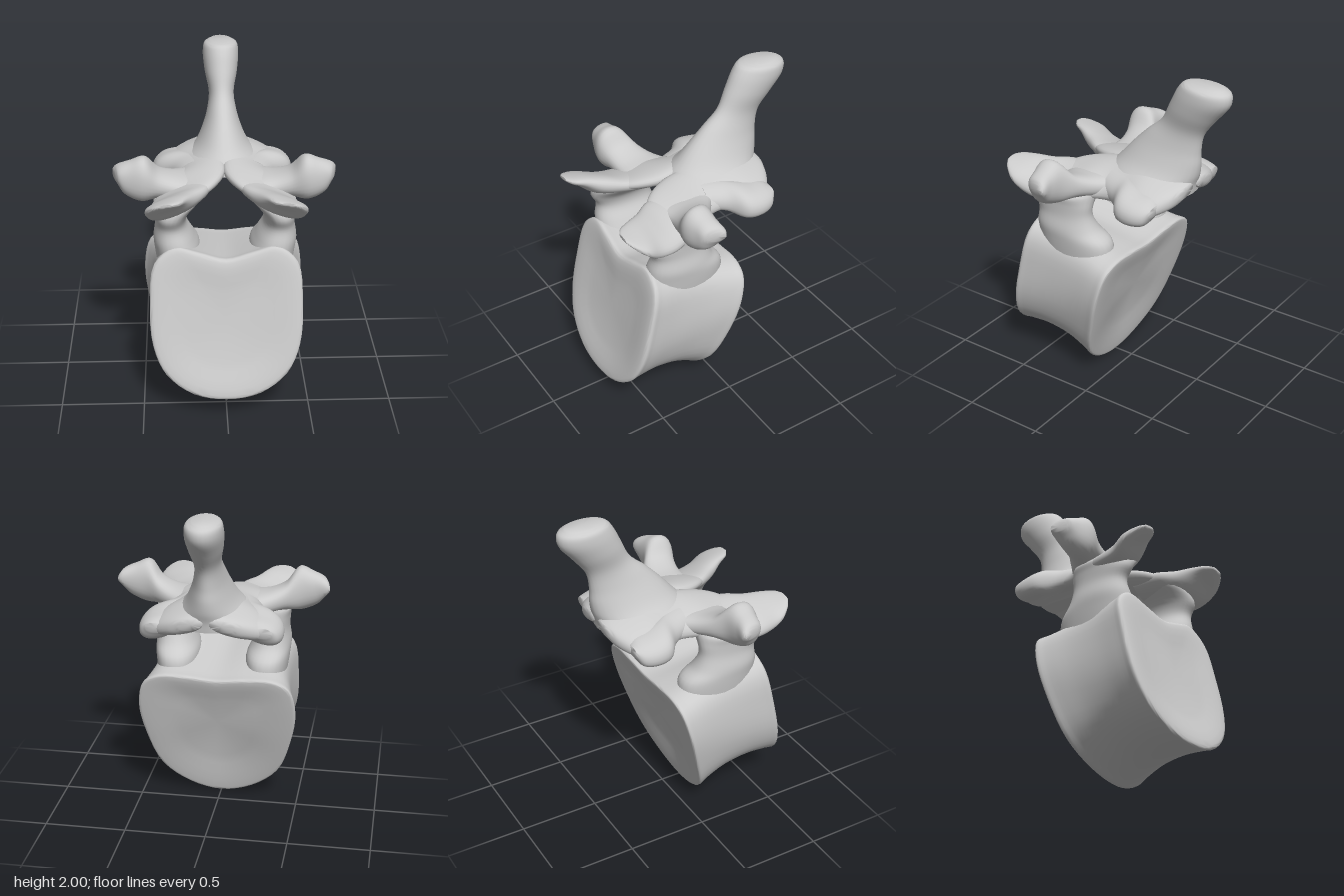
import * as THREE from 'three';
import { mergeVertices, toCreasedNormals } from 'three/addons/utils/BufferGeometryUtils.js';

const V = (x, y, z) => new THREE.Vector3(x, y, z);
const material = new THREE.MeshStandardMaterial({ color: 0xcccccc });

// Superellipse ring around c with half axes u and v
function ellipse(c, u, v, power = 2.3, count = 28) {
  const p = (n) => Math.sign(n) * Math.abs(n) ** (2 / power);
  return Array.from({ length: count }, (_, i) => {
    const a = (i / count) * Math.PI * 2;
    return V(...c).addScaledVector(V(...u), p(Math.cos(a))).addScaledVector(V(...v), p(Math.sin(a)));
  });
}

// Smooth closed skin through rings of equal length, capped at both ends
function loft(rings, mirror = false, steps = 5) {
  const n = rings[0].length, rows = (rings.length - 1) * steps;
  const pos = [], index = [];
  const lines = rings[0].map((_, j) => new THREE.CatmullRomCurve3(rings.map((r) => r[j])));
  for (let i = 0; i <= rows; i++)
    for (const line of lines) {
      const p = line.getPoint(i / rows);
      pos.push(mirror ? -p.x : p.x, p.y, p.z);
    }
  for (let i = 0; i < rows; i++)
    for (let j = 0; j < n; j++) {
      const a = i * n + j, b = i * n + ((j + 1) % n);
      index.push(a, b, b + n, a, b + n, a + n);
    }
  for (const [row, flip] of [[0, true], [rows, false]]) {
    const mid = V(0, 0, 0), hub = pos.length / 3, s = row * n;
    for (let j = 0; j < n; j++) mid.add(V().fromArray(pos, (s + j) * 3));
    mid.divideScalar(n);
    pos.push(mid.x, mid.y, mid.z);
    for (let j = 0; j < n; j++) {
      const a = s + j, b = s + ((j + 1) % n);
      index.push(...(flip ? [hub, b, a] : [hub, a, b]));
    }
  }
  // Turn the skin outward if its enclosed volume is negative
  let volume = 0;
  const at = (k) => V().fromArray(pos, index[k] * 3);
  for (let k = 0; k < index.length; k += 3) volume += at(k).dot(at(k + 1).cross(at(k + 2)));
  if (volume < 0) index.reverse();
  const geo = new THREE.BufferGeometry();
  geo.setAttribute('position', new THREE.Float32BufferAttribute(pos, 3));
  geo.setIndex(index);
  return toCreasedNormals(mergeVertices(geo), 1.1);
}

// Closed symmetric outline from half of its points, placed on a sloping plane
function outline(half, zOf) {
  const other = half.slice(1, -1).reverse().map(([x, y]) => [-x, y]);
  const curve = new THREE.CatmullRomCurve3([...half, ...other].map(([x, y]) => V(x, y, zOf(y))), true);
  return Array.from({ length: 64 }, (_, i) => curve.getPoint(i / 64));
}

export function createModel() {
  const group = new THREE.Group();
  const add = (name, geo) => {
    const mesh = new THREE.Mesh(geo, material);
    mesh.name = name;
    group.add(mesh);
  };
  const pair = (name, sections) => {
    const rings = sections.map(([c, u, v]) => ellipse(c, u, v));
    add('left' + name, loft(rings));
    add('right' + name, loft(rings, true));
  };

  // Body: two sloping end plates with a waist between them
  const front = outline([[0, 0.125], [0.2, 0.16], [0.36, 0.28], [0.435, 0.45], [0.45, 0.7],
    [0.42, 0.94], [0.3, 1.03], [0.16, 1.0], [0, 0.96]], (y) => 0.68 - (y - 0.13) * 0.23);
  const back = outline([[0, 0.0], [0.2, 0.055], [0.37, 0.2], [0.46, 0.45], [0.49, 0.67],
    [0.45, 0.83], [0.35, 0.885], [0.17, 0.885], [0, 0.87]], (y) => 0.13 - y * 0.36 + y * y * 0.075);
  const between = (t) => front.map((p, i) => {
    const q = p.clone().lerp(back[i], t), w = Math.sin(Math.PI * t);
    q.x *= 1 - 0.08 * w;
    q.y += 0.06 * w * Math.max(0, 1 - q.y / 0.5);
    return q;
  });
  const inset = (ring, s, dz) => ring.map((p) =>
    V(p.x * s, 0.55 + (p.y - 0.55) * s, p.z + (p.y - 0.55) * (1 - s) * 0.25 + dz));
  add('body', loft([inset(front, 0.5, -0.02), inset(front, 0.94, 0), between(0.02), between(0.1), between(0.35),
    between(0.65), between(0.9), back, inset(back, 0.95, -0.006), inset(back, 0.5, 0.012)], false, 4));

  // Pedicles: necks beside the canal, flared into the body and the roof
  pair('Pedicle', [
    [[0.28, 0.8, 0.2], [0.12, 0, 0], [0, 0, 0.24]],
    [[0.285, 0.95, 0.215], [0.135, 0, 0], [0, 0, 0.25]],
    [[0.305, 1.03, 0.25], [0.12, 0, 0], [0, 0, 0.21]],
    [[0.32, 1.12, 0.26], [0.092, 0, 0], [0, 0, 0.185]],
    [[0.315, 1.2, 0.275], [0.1, 0, 0], [0, 0, 0.205]],
    [[0.27, 1.28, 0.26], [0.15, -0.03, 0], [0, 0, 0.2]],
    [[0.25, 1.32, 0.22], [0.14, -0.04, 0], [0, 0, 0.15]],
  ]);

  // Forward flanges that taper to a thin rounded lip
  pair('UpperJointProcess', [
    [[0.23, 1.29, 0.2], [0.16, -0.04, 0], [0, 0.06, 0]],
    [[0.27, 1.285, 0.35], [0.17, -0.055, 0], [0, 0.06, 0]],
    [[0.31, 1.295, 0.46], [0.14, -0.05, 0], [0, 0.06, -0.02]],
    [[0.345, 1.335, 0.55], [0.12, -0.035, 0], [0, 0.037, -0.015]],
    [[0.345, 1.362, 0.62], [0.08, -0.015, 0], [0, 0.022, 0]],
    [[0.345, 1.375, 0.648], [0.04, -0.005, 0], [0, 0.01, 0]],
  ]);

  // Side processes with a swollen end
  pair('SideProcess', [
    [[0.2, 1.31, 0.13], [0, 0, 0.19], [0, 0.06, 0]],
    [[0.3, 1.315, 0.165], [0, 0, 0.14], [0, 0.07, 0]],
    [[0.39, 1.34, 0.2], [0, 0, 0.115], [0, 0.085, 0]],
    [[0.48, 1.38, 0.24], [0, 0, 0.1], [-0.01, 0.135, 0]],
    [[0.57, 1.39, 0.235], [0, 0, 0.08], [-0.02, 0.1, 0]],
    [[0.63, 1.4, 0.225], [-0.012, 0, 0.07], [0, 0.055, 0]],
    [[0.648, 1.4, 0.215], [-0.012, 0, 0.05], [0, 0.03, 0]],
  ]);

  // Sloping roof plates over the canal
  pair('Lamina', [
    [[0.28, 1.285, 0.42], [0.1, -0.03, 0], [0, 0.03, 0]],
    [[0.21, 1.31, 0.3], [0.15, -0.045, 0], [0, 0.045, 0]],
    [[0.19, 1.325, 0.17], [0.19, -0.05, 0], [0, 0.06, 0]],
    [[0.15, 1.335, 0.03], [0.155, -0.06, 0], [0, 0.07, 0]],
    [[0.14, 1.345, -0.08], [0.16, -0.065, 0], [0, 0.075, 0]],
    [[0.17, 1.335, -0.22], [0.19, -0.07, 0], [0, 0.085, 0]],
    [[0.16, 1.335, -0.34], [0.18, -0.06, 0], [0, 0.07, 0]],
    [[0.12, 1.34, -0.42], [0.12, -0.03, 0], [0, 0.055, 0]],
    [[0.09, 1.35, -0.45], [0.07, -0.01, 0], [0, 0.035, 0]],
  ]);

  // Rounded lobes at the rear
  pair('LowerJointProcess', [
    [[0.19, 1.33, 0.02], [0.08, -0.03, 0], [0, 0.06, 0]],
    [[0.235, 1.315, -0.09], [0.09, -0.03, 0], [0, 0.07, 0]],
    [[0.3, 1.295, -0.17], [0.115, -0.03, 0], [0, 0.085, 0]],
    [[0.315, 1.28, -0.26], [0.115, -0.025, 0], [0, 0.08, 0]],
    [[0.31, 1.28, -0.34], [0.1, -0.02, 0], [0, 0.065, 0]],
    [[0.31, 1.295, -0.38], [0.06, 0, 0], [0, 0.03, 0]],
  ]);

  // Spine with a flared base: [front z, y], [rear z, y], half width
  const spine = [
    [[0.13, 1.33], [-0.44, 1.3], 0.27],
    [[0.11, 1.39], [-0.45, 1.36], 0.215],
    [[0.05, 1.46], [-0.47, 1.42], 0.16],
    [[-0.03, 1.55], [-0.48, 1.49], 0.12],
    [[-0.12, 1.64], [-0.48, 1.57], 0.092],
    [[-0.22, 1.73], [-0.5, 1.68], 0.077],
    [[-0.28, 1.85], [-0.58, 1.79], 0.1],
    [[-0.33, 1.95], [-0.665, 1.9], 0.11],
    [[-0.365, 1.99], [-0.665, 1.96], 0.1],
    [[-0.41, 2.0], [-0.62, 1.99], 0.065],
  ];
  add('spinousProcess', loft(spine.map(([f, b, w]) => ellipse(
    [0, (f[1] + b[1]) / 2, (f[0] + b[0]) / 2], [w, 0, 0],
    [0, (f[1] - b[1]) / 2, (f[0] - b[0]) / 2], 2))));

  return group;
}
